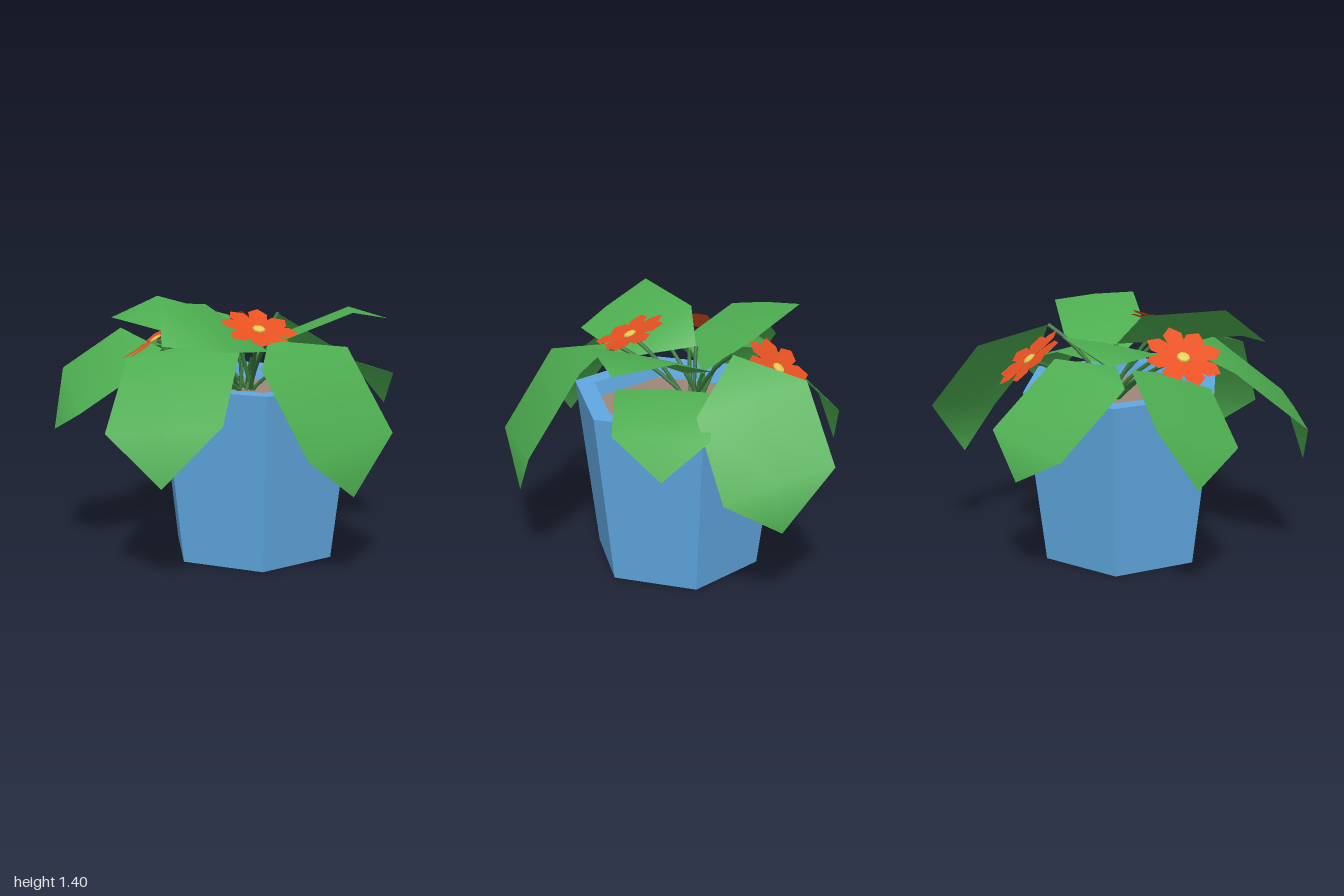
import * as THREE from 'three';

const material = (name, color, extra = {}) => {
  const m = new THREE.MeshStandardMaterial({ color, ...extra });
  m.name = name;
  return m;
};
const V = (p) => new THREE.Vector3(...p);

// Each leaf: base, middle of its near and far rows, tip, and half its width as a vector
const LEAVES = [
  { base: [-.16, 1.2, .31], near: [-.185, 1.135, .57], far: [-.185, .725, .86], tip: [-.16, .465, .86], half: [.295, .03, .04] },
  { base: [.42, 1.255, -.1], near: [.665, 1.105, -.075], far: [.955, .75, -.075], tip: [.95, .49, -.1], half: [.045, .065, -.285] },
  { base: [-.3, 1.18, -.02], near: [-.52, 1.14, .045], far: [-.86, .83, .23], tip: [-.91, .55, .26], half: [.14, .03, .26] },
  { base: [.03, 1.18, -.09], near: [-.12, 1.24, .06], far: [-.545, 1.29, .13], tip: [-.73, 1.21, .1], half: [.015, -.11, .205] },
  { base: [.11, 1.06, -.09], near: [.03, 1.2, -.22], far: [-.145, 1.295, -.61], tip: [-.21, 1.235, -.79], half: [-.215, -.045, .09] },
  { base: [.08, 1.06, .0], near: [.18, 1.17, .135], far: [.375, 1.32, .435], tip: [.49, 1.275, .6], half: [-.18, .01, .145] },
  { base: [.17, 1.0, .13], near: [.32, 1.085, .245], far: [.63, .97, .405], tip: [.7, .77, .44], half: [-.11, .01, .215] },
  { base: [-.28, 1.11, -.33], near: [-.405, 1.11, -.445], far: [-.625, .89, -.68], tip: [-.66, .67, -.78], half: [-.135, -.085, .21] },
  { base: [-.06, 1.12, -.33], near: [0, 1.125, -.535], far: [.22, .805, -.815], tip: [.28, .61, -.82], half: [.22, .04, .075] },
];

const FLOWERS = [
  { at: [-.40, 1.18, -.26], normal: [-.36, .85, -.42] },
  { at: [.40, 1.13, -.38], normal: [.5, .77, -.36] },
  { at: [-.13, 1.245, .22], normal: [-.14, 1, .4] },
];

// Leaf sheet: base, near row, far row and tip, with a faintly raised midrib
function leafGeometry({ base, near, far, tip, half }) {
  const row = (middle) => [-1, 0, 1].map((side) => {
    const p = V(middle).addScaledVector(V(half), side);
    if (side === 0) p.y += .01;
    return p;
  });
  const geo = new THREE.BufferGeometry().setFromPoints([V(base), ...row(near), ...row(far), V(tip)]);
  geo.setIndex([0, 1, 2, 0, 2, 3, 1, 4, 5, 1, 5, 2, 2, 5, 6, 2, 6, 3, 4, 7, 5, 5, 7, 6]);
  geo.computeVertexNormals();
  return geo;
}

// Thin stem curving up out of the soil
function stemGeometry(end, i) {
  const a = i * 2.4;
  const start = new THREE.Vector3(.09 + .035 * Math.cos(a), .85, -.06 + .035 * Math.sin(a));
  const bend = start.clone().lerp(end, .45);
  bend.y = .85 + (end.y - .85) * .7;
  return new THREE.TubeGeometry(new THREE.QuadraticBezierCurve3(start, bend, end), 6, .011, 5);
}

export function createModel() {
  const model = new THREE.Group();
  const blue = material('pot blue', 0x60a8e0, { side: THREE.DoubleSide });
  const brown = material('soil brown', 0x9e867a);
  const green = material('leaf green', 0x4dad50, { side: THREE.DoubleSide });
  const darkGreen = material('stem green', 0x37783c);
  const orange = material('petal orange', 0xf05423, { side: THREE.DoubleSide });
  const yellow = material('flower centre yellow', 0xeed457);

  const add = (parent, name, geo, mat) => {
    const mesh = new THREE.Mesh(geo, mat);
    mesh.name = name;
    parent.add(mesh);
    return mesh;
  };

  // Six-sided pot, open underneath, with a thick rim
  const turn = THREE.MathUtils.degToRad(13.2);
  const profile = [[.457, 0], [.575, .95], [.465, .95], [.44, .86]].map((p) => new THREE.Vector2(...p));
  const potGeo = new THREE.LatheGeometry(profile, 6, Math.PI / 6 - turn).toNonIndexed();
  potGeo.computeVertexNormals();
  add(model, 'pot', potGeo, blue).position.set(.045, 0, .032);

  // Soil
  const soil = new THREE.CircleGeometry(.445, 6, -turn).rotateX(-Math.PI / 2);
  add(model, 'soil', soil, brown).position.set(.045, .87, .032);

  // Leaves and their stems
  LEAVES.forEach((leaf, i) => {
    const group = new THREE.Group();
    group.name = 'leaf ' + (i + 1);
    add(group, 'leafBlade', leafGeometry(leaf), green);
    add(group, 'leafStem', stemGeometry(V(leaf.base), i), darkGreen);
    model.add(group);
  });

  // Flowers: a ring of pointed petals around a low dome
  const petal = new THREE.Shape([[0, 0], [.046, .10], [.052, .16], [0, .207], [-.052, .16], [-.046, .10]]
    .map((p) => new THREE.Vector2(...p)));
  const petalGeo = new THREE.ShapeGeometry(petal).rotateX(-Math.PI / 2);
  const domeGeo = new THREE.SphereGeometry(.038, 8, 2, 0, Math.PI * 2, 0, Math.PI / 2).scale(1, .3, 1);
  FLOWERS.forEach(({ at, normal }, i) => {
    const flower = new THREE.Group();
    flower.name = 'flower ' + (i + 1);
    for (let k = 0; k < 8; k++) {
      const p = add(flower, 'petal', petalGeo, orange);
      p.rotation.set(k % 2 ? .06 : .02, k * Math.PI / 4, 0, 'YXZ');
    }
    add(flower, 'flowerCentre', domeGeo, yellow).position.y = .003;
    const facing = V(normal).normalize();
    flower.position.set(...at);
    flower.quaternion.setFromUnitVectors(new THREE.Vector3(0, 1, 0), facing);
    model.add(flower);
    add(model, 'flowerStem', stemGeometry(V(at).addScaledVector(facing, -.008), i + 9), darkGreen);
  });

  return model;
}
